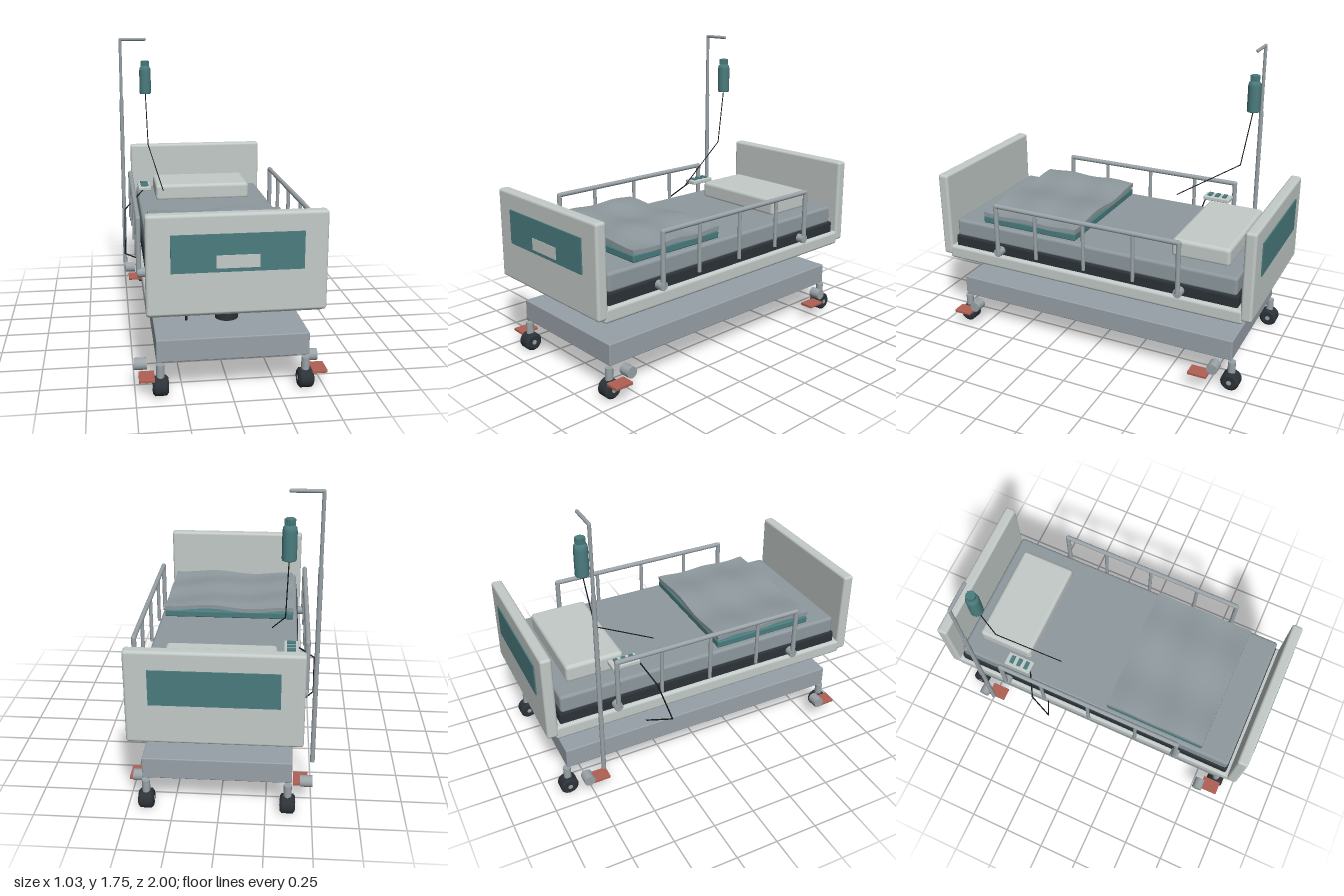
import * as THREE from 'three';
import { RoundedBoxGeometry } from 'three/addons/geometries/RoundedBoxGeometry.js';

const mat = (name, color) => {
  const m = new THREE.MeshStandardMaterial({ color });
  m.name = name;
  return m;
};

export function createModel() {
  const shell = mat('pale shell', 0xc3cbc8);
  const steel = mat('grey steel', 0x9aa3a8);
  const fabric = mat('mattress fabric', 0x8e999e);
  const paint = mat('base paint', 0x98a1a8);
  const teal = mat('teal', 0x4b7c7e);
  const dark = mat('dark rubber', 0x2c3238);
  const red = mat('red pedal', 0xb06052);
  const black = mat('black cable', 0x17191b);

  const root = new THREE.Group();
  root.name = 'hospitalBed';
  const CX = 0.015; // centre line of the bed

  const add = (name, geo, material, parent = root) => {
    const m = new THREE.Mesh(geo, material);
    m.name = name;
    parent.add(m);
    return m;
  };
  // Box from its limits, rounded when r > 0
  const box = (name, material, x0, x1, y0, y1, z0, z1, r = 0, parent = root) => {
    const s = [x1 - x0, y1 - y0, z1 - z0];
    const g = r ? new RoundedBoxGeometry(...s, 3, r) : new THREE.BoxGeometry(...s);
    const m = add(name, g, material, parent);
    m.position.set((x0 + x1) / 2, (y0 + y1) / 2, (z0 + z1) / 2);
    return m;
  };
  // Cylinder between two points
  const rod = (name, material, a, b, r, parent = root, sides = 20) => {
    const p = new THREE.Vector3(...a), q = new THREE.Vector3(...b);
    const d = q.clone().sub(p);
    const m = add(name, new THREE.CylinderGeometry(r, r, d.length(), sides), material, parent);
    m.position.copy(p).add(q).multiplyScalar(0.5);
    m.quaternion.setFromUnitVectors(new THREE.Vector3(0, 1, 0), d.normalize());
    return m;
  };
  // Bent line of straight tubes with ball corners
  const line = (name, material, pts, r) => {
    const g = new THREE.Group();
    g.name = name;
    root.add(g);
    pts.slice(1).forEach((p, i) => {
      rod(name + 'Segment', material, pts[i], p, r, g, 10);
      add(name + 'Bend', new THREE.SphereGeometry(r, 10, 8), material, g).position.set(...p);
    });
    return g;
  };

  // Wheeled base and lifting columns
  box('base', paint, -0.39, 0.418, 0.185, 0.308, -0.88, 0.885, 0.006);
  for (const z of [0.61, -0.605]) {
    rod('columnSleeve', dark, [CX, 0.3, z], [CX, 0.432, z], 0.063, root, 32);
    rod('columnPiston', steel, [CX, 0.42, z], [CX, 0.47, z], 0.05, root, 32);
    rod('liftLever', dark, [-0.21, 0.305, z + 0.02], [-0.21, 0.442, z + 0.107], 0.007);
  }

  // Casters, brake pedals and bumper rollers
  for (const s of [-1, 1]) for (const e of [-1, 1]) {
    const g = new THREE.Group();
    g.name = 'caster';
    root.add(g);
    const x = CX + s * 0.384, z = e * 0.877;
    const tyre = [[0, -0.041], [0.04, -0.041], [0.053, -0.03], [0.053, 0.03], [0.04, 0.041], [0, 0.041]];
    const wheel = add('wheel', new THREE.LatheGeometry(tyre.map(p => new THREE.Vector2(...p)), 28), dark, g);
    wheel.geometry = wheel.geometry.toNonIndexed();
    wheel.geometry.computeVertexNormals();
    wheel.rotation.z = Math.PI / 2;
    wheel.position.set(x, 0.054, z);
    rod('wheelAxle', steel, [x - 0.043, 0.054, z], [x + 0.043, 0.054, z], 0.014, g);
    rod('casterStem', steel, [x, 0.08, z], [x, 0.172, z], 0.022, g);
    const px = CX + s * 0.455, pz = e > 0 ? 0.862 : -0.71;
    box('brakePedal', red, px - 0.041, px + 0.041, 0.09, 0.107, pz - 0.056, pz + 0.056, 0.003, g);
    const bx = s < 0 ? -0.47 : 0.447;
    rod('bumperRoller', steel, [bx - 0.034, 0.14, e * 0.787], [bx + 0.034, 0.14, e * 0.787], 0.032, g, 28);
  }

  // Deck, frame and mattress
  box('deck', shell, -0.44, 0.472, 0.455, 0.54, -0.94, 0.945, 0.018);
  box('mattressFrame', dark, -0.42, 0.45, 0.535, 0.607, -0.905, 0.905, 0.01);
  box('mattress', fabric, -0.41, 0.44, 0.6, 0.71, -0.893, 0.897, 0.018);
  box('pillow', shell, -0.295, 0.325, 0.7, 0.808, -0.81, -0.467, 0.022);

  // End boards with inset panels
  for (const e of [-1, 1]) {
    const zs = (a, b) => (e > 0 ? [a, b] : [-b, -a]);
    box('endBoard', shell, -0.442, 0.473, 0.478, 0.998, ...zs(0.925, 0.99), 0.016);
    box('endPanel', teal, -0.32, 0.35, 0.703, 0.898, ...zs(0.989, 0.997));
  }
  box('namePlate', shell, -0.095, 0.125, 0.723, 0.79, 0.996, 1);

  // Folded blanket: flat lower layer, rippled top layer
  box('blanketLining', teal, -0.385, 0.415, 0.712, 0.755, 0.092, 0.715, 0.008);
  const sheet = new THREE.BoxGeometry(0.8, 0.025, 0.622, 40, 1, 32);
  const p = sheet.attributes.position;
  for (let i = 0; i < p.count; i++) {
    const x = p.getX(i), z = p.getZ(i);
    p.setY(i, p.getY(i) + 0.009 * Math.sin(x * 13) + 0.005 * Math.sin(z * 20 + x * 3));
  }
  sheet.computeVertexNormals();
  add('blanketTop', sheet, fabric).position.set(CX, 0.774, 0.403);

  // Side rails
  for (const s of [-1, 1]) {
    const g = new THREE.Group();
    g.name = s < 0 ? 'rightRail' : 'leftRail';
    root.add(g);
    const x = CX + s * 0.474;
    rod('topRail', steel, [x, 0.874, -0.575], [x, 0.874, 0.575], 0.014, g);
    for (const z of [-0.575, -0.307, 0, 0.312, 0.575]) {
      const end = Math.abs(z) > 0.5;
      rod('railPost', steel, [x, end ? 0.57 : 0.585, z], [x, 0.874, z], end ? 0.014 : 0.011, g);
      if (!end) continue;
      add('railCorner', new THREE.SphereGeometry(0.014, 16, 12), steel, g).position.set(x, 0.874, z);
      rod('railPivot', steel, [x - s * 0.045, 0.572, z], [x + s * 0.008, 0.572, z], 0.026, g);
    }
  }

  // Drip stand with bottle and tube
  const PX = -0.503, PZ = -0.7;
  rod('standLower', steel, [PX, 0.21, PZ], [PX, 1.35, PZ], 0.013);
  line('standArm', steel, [[PX, 1.3, PZ], [PX, 1.745, PZ], [-0.343, 1.745, PZ]], 0.01);
  const profile = [[0, 1.388], [0.036, 1.388], [0.038, 1.393], [0.038, 1.54], [0.035, 1.558], [0.025, 1.572], [0, 1.572]];
  add('dripBottle', new THREE.LatheGeometry(profile.map(q => new THREE.Vector2(...q)), 32), teal)
    .position.set(-0.343, 0, -0.695);
  rod('bottleCap', teal, [-0.343, 1.565, -0.695], [-0.343, 1.604, -0.695], 0.025);
  for (let i = 0; i < 12; i++) {
    const a = i * Math.PI / 6, x = -0.343 + 0.025 * Math.cos(a), z = -0.695 + 0.025 * Math.sin(a);
    rod('capRib', teal, [x, 1.572, z], [x, 1.602, z], 0.004, root, 6);
  }
  line('dripTube', black, [[-0.343, 1.39, -0.695], [-0.333, 1.05, -0.64], [-0.262, 0.82, -0.267]], 0.003);

  // Hand control with buttons and cable
  box('handControl', shell, -0.412, -0.33, 0.785, 0.811, -0.582, -0.415, 0.006);
  for (const z of [-0.542, -0.495, -0.448])
    box('controlButton', teal, -0.395, -0.346, 0.81, 0.819, z - 0.012, z + 0.012);
  line('controlCable', black,
    [[-0.385, 0.79, -0.418], [-0.505, 0.68, -0.357], [-0.512, 0.41, -0.268], [-0.34, 0.305, -0.36]], 0.004);

  return root;
}
